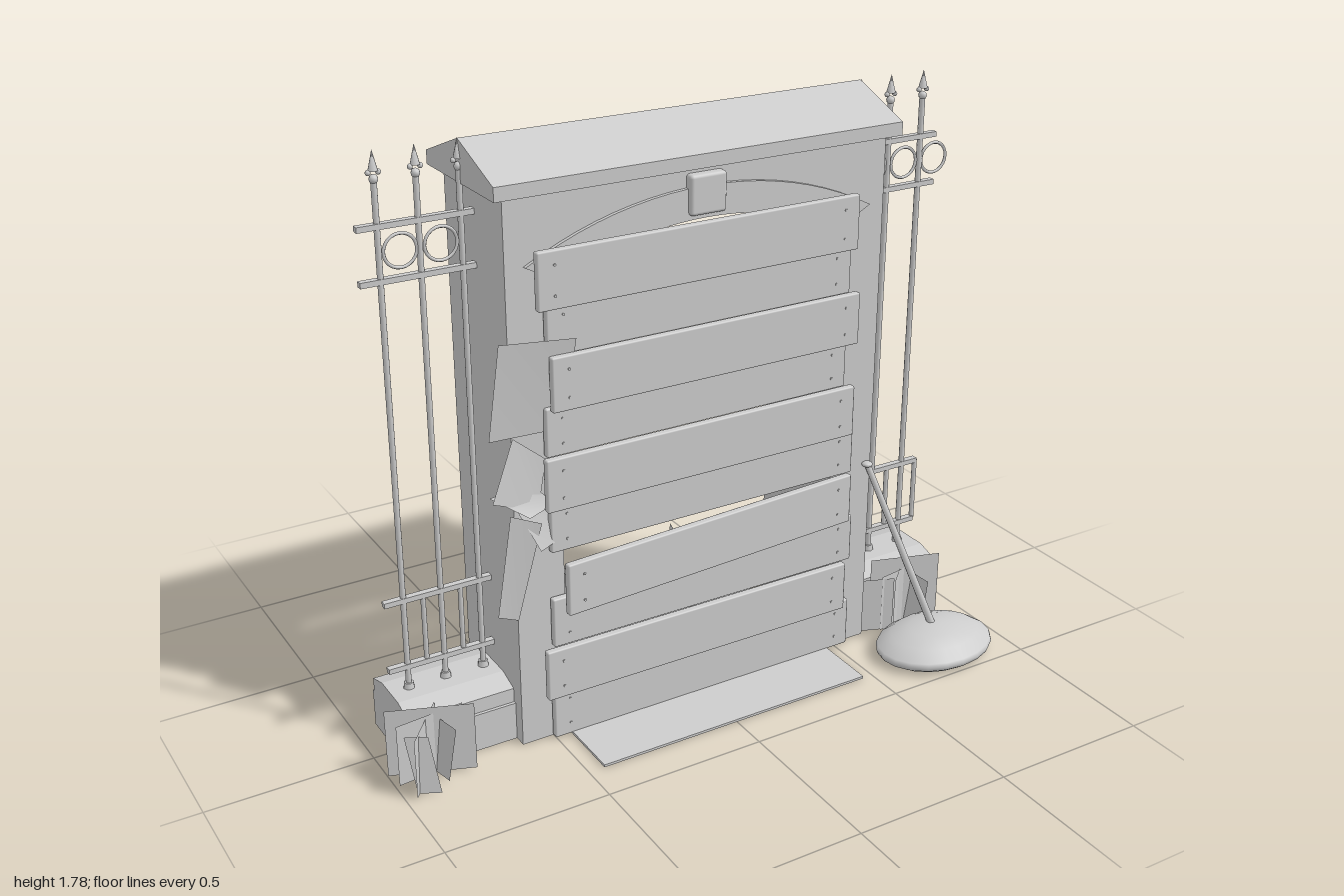
import * as THREE from 'three';
import { RoundedBoxGeometry } from 'three/addons/geometries/RoundedBoxGeometry.js';

const stone = new THREE.MeshStandardMaterial({ color: 0xcccccc, side: THREE.DoubleSide });
stone.name = 'plain grey';

export function createModel() {
  const root = new THREE.Group();
  root.name = 'boardedGateway';

  const add = (geo, name, x = 0, y = 0, z = 0, parent = root) => {
    const m = new THREE.Mesh(geo, stone);
    m.name = name;
    m.position.set(x, y, z);
    parent.add(m);
    return m;
  };
  // box given by its limits on each axis
  const box = (name, x0, x1, y0, y1, z0, z1, parent = root) =>
    add(new THREE.BoxGeometry(x1 - x0, y1 - y0, z1 - z0), name,
      (x0 + x1) / 2, (y0 + y1) / 2, (z0 + z1) / 2, parent);
  // rod between two points
  const rod = (name, a, b, r0, r1 = r0, parent = root, sides = 8) => {
    const A = new THREE.Vector3(...a), B = new THREE.Vector3(...b), d = B.clone().sub(A);
    const m = add(new THREE.CylinderGeometry(r1, r0, d.length(), sides), name, 0, 0, 0, parent);
    m.position.copy(A).add(B).multiplyScalar(0.5);
    m.quaternion.setFromUnitVectors(new THREE.Vector3(0, 1, 0), d.normalize());
    return m;
  };
  // shallow arc from left to right: half width, spring height, peak height
  const cx = 0.01;
  const arc = (half, spring, peak, n = 20) => {
    const s = peak - spring, R = (half * half + s * s) / (2 * s), a = Math.asin(half / R);
    return Array.from({ length: n + 1 }, (_, i) => {
      const t = -a + (2 * a * i) / n;
      return new THREE.Vector2(cx + R * Math.sin(t), peak - R + R * Math.cos(t));
    });
  };
  const extrude = (pts, depth) =>
    new THREE.ExtrudeGeometry(new THREE.Shape(pts), { depth, bevelEnabled: false });
  const V = (x, y) => new THREE.Vector2(x, y);

  // gateway wall with its arched opening
  const opening = arc(0.46, 1.41, 1.51);
  add(extrude([V(-0.6, 0), V(-0.45, 0), ...opening, V(0.47, 0), V(0.62, 0), V(0.62, 1.66), V(-0.6, 1.66)], 0.36),
    'gatewayWall', 0, 0, -0.2);

  // arch trim and keystone on both faces
  const band = [...arc(0.555, 1.46, 1.6), ...arc(0.46, 1.41, 1.51).reverse()];
  for (const [z, side] of [[0.16, 'front'], [-0.212, 'back']]) {
    add(extrude(band, 0.012), side + 'ArchTrim', 0, 0, z);
    add(new RoundedBoxGeometry(0.115, 0.115, 0.045, 2, 0.01), side + 'Keystone', 0.008, 1.58, side === 'front' ? 0.165 : -0.205);
  }

  // pitched coping, profile drawn in z and y
  const roof = extrude([V(-0.19, 1.655), V(0.23, 1.655), V(0.23, 1.695), V(0.02, 1.775), V(-0.19, 1.695)], 1.29);
  add(roof, 'copingRoof', -0.635).rotation.y = Math.PI / 2;

  // paving slab through the opening
  box('pavingSlab', -0.45, 0.465, 0, 0.008, -0.435, 0.38);

  // hinge knobs on the jambs
  for (const [x, y, z] of [[0.47, 1.2, 0.13], [0.47, 0.38, 0.13], [-0.45, 1.16, 0.1], [-0.45, 1.19, -0.08]])
    add(new THREE.SphereGeometry(0.02, 12, 8), 'hingeKnob', x, y, z);

  // boards across the front: left, right, bottom, top
  const boards = [
    [-0.53, 0.5, 1.345, 1.51], [-0.495, 0.495, 1.205, 1.355], [-0.495, 0.515, 1.05, 1.21],
    [-0.505, 0.49, 0.91, 1.055], [-0.52, 0.51, 0.755, 0.915], [-0.5, 0.53, 0.615, 0.765],
    [-0.495, 0.52, 0.455, 0.615], [-0.5, 0.54, 0.31, 0.465], [-0.535, 0.505, 0.155, 0.315],
    [-0.505, 0.54, 0.005, 0.165],
  ];
  const boarding = new THREE.Group();
  boarding.name = 'boarding';
  root.add(boarding);
  boards.forEach(([x0, x1, y0, y1], i) => {
    const loose = i === 6, w = x1 - x0, h = y1 - y0;
    const g = new THREE.Group();
    g.name = loose ? 'looseBoard' : 'board';
    g.position.set((x0 + x1) / 2, (y0 + y1) / 2, loose ? 0.226 : i % 2 ? 0.174 : 0.2);
    if (loose) g.rotation.y = 0.07;
    boarding.add(g);
    add(new RoundedBoxGeometry(w, h, 0.024, 1, 0.005), 'plank', 0, 0, 0, g);
    for (const sx of [-1, 1]) for (const sy of [-1, 1])
      add(new THREE.CylinderGeometry(0.004, 0.004, 0.004, 8), 'nail', sx * (w / 2 - 0.05), sy * h * 0.26, 0.013, g)
        .rotation.x = Math.PI / 2;
  });

  // railings on low plinths, one each side
  const fence = (name, x0, x1, posts, gaps) => {
    const g = new THREE.Group();
    g.name = name;
    root.add(g);
    const mid = (x0 + x1) / 2, w = x1 - x0, z = -0.02;
    box('plinth', x0, x1, 0, 0.12, -0.16, 0.12, g);
    // plinth cap with a gently sloped top
    const cap = extrude([V(-0.11, 0.12), V(0.15, 0.12), V(0.15, 0.165), V(0.08, 0.187), V(-0.04, 0.187), V(-0.11, 0.165)], w);
    add(cap, 'plinthCap', x0, 0, 0, g).rotation.y = Math.PI / 2;
    for (const y of [0.26, 0.475, 1.425, 1.575])
      add(new THREE.BoxGeometry(w, 0.016, 0.02), 'rail', mid, y, z, g);
    for (const x of posts) {
      rod('post', [x, 0.18, z], [x, 1.7, z], 0.009, 0.009, g);
      rod('postFoot', [x, 0.18, z], [x, 0.205, z], 0.018, 0.014, g);
      add(new THREE.SphereGeometry(0.013, 8, 6), 'finialKnob', x, 1.7, z, g);
      for (const s of [-1, 1]) add(new THREE.SphereGeometry(0.008, 8, 6), 'finialBud', x + s * 0.014, 1.718, z, g);
      add(new THREE.ConeGeometry(0.014, 0.055, 8), 'spearTip', x, 1.75, z, g);
    }
    for (const x of gaps) {
      add(new THREE.TorusGeometry(0.047, 0.005, 6, 24), 'ring', x, 1.5, z, g);
      rod('shortBar', [x, 0.26, z], [x, 0.475, z], 0.008, 0.008, g);
    }
  };
  fence('rightFence', -0.93, -0.6, [-0.87, -0.755, -0.635], [-0.81, -0.695]);
  fence('leftFence', 0.62, 0.945, [0.66, 0.77, 0.89], [0.715, 0.83, 0.945]);

  // oval domed base with a leaning pole
  const dome = [[0, 0], [0.165, 0], [0.195, 0.018], [0.2, 0.03], [0.195, 0.043], [0.15, 0.072], [0.09, 0.092], [0.03, 0.1], [0, 0.1]];
  add(new THREE.LatheGeometry(dome.map(p => V(...p)), 20), 'domedBase', 0.76, 0, 0.355).scale.z = 0.76;
  rod('leaningPole', [0.755, 0.09, 0.345], [0.605, 0.61, 0.172], 0.013, 0.01);
  add(new THREE.SphereGeometry(0.018, 10, 6), 'poleCap', 0.602, 0.618, 0.17).scale.y = 0.5;

  // upright leaf cards: foot from (x0,z0) to (x1,z1), height, sideways lean of the top
  const card = (name, p, parent) => {
    const [x0, z0, x1, z1, h, lx = 0, lz = 0] = p;
    const geo = new THREE.BufferGeometry();
    geo.setAttribute('position', new THREE.Float32BufferAttribute(
      [x0, 0.005, z0, x1, 0.005, z1, x1 + lx, h, z1 + lz, x0 + lx, h, z0 + lz], 3));
    geo.setIndex([0, 1, 2, 0, 2, 3]);
    geo.computeVertexNormals();
    add(geo, name, 0, 0, 0, parent);
  };
  const clumps = {
    frontRightGrass: [[-1, 0.11, -0.765, 0.2, 0.22], [-0.97, 0.25, -0.84, 0.09, 0.19], [-0.99, 0.17, -0.78, 0.15, 0.2],
      [-0.89, 0.08, -0.86, 0.22, 0.18, 0.02, 0.02], [-0.96, 0.23, -0.9, 0.26, 0.18, -0.02, -0.03]],
    frontLeftGrass: [[0.67, 0.13, 0.89, 0.2, 0.24], [0.7, 0.22, 0.83, 0.1, 0.2], [0.59, 0.14, 0.72, 0.19, 0.19],
      [0.78, 0.1, 0.79, 0.25, 0.18, 0.02], [0.68, 0.18, 0.87, 0.15, 0.2]],
    backRightGrass: [[-0.44, -0.3, -0.25, -0.41, 0.2], [-0.4, -0.44, -0.3, -0.27, 0.2], [-0.27, -0.4, -0.1, -0.395, 0.2],
      [-0.28, -0.42, -0.26, -0.24, 0.24], [-0.22, -0.5, -0.19, -0.3, 0.19, 0.025]],
    backLeftGrass: [[0.1, -0.24, 0.31, -0.38, 0.24], [0.16, -0.36, 0.23, -0.24, 0.22], [0.165, -0.46, 0.37, -0.41, 0.2, 0, 0.04],
      [0.26, -0.5, 0.215, -0.33, 0.2, 0.025, 0.01]],
  };
  for (const [name, cards] of Object.entries(clumps)) {
    const g = new THREE.Group();
    g.name = name;
    root.add(g);
    cards.forEach(c => card('grassCard', c, g));
  }

  // creeper leaves climbing the wall beside the boards: four corners as x, y, z
  const leaves = [
    [-0.64, 1.27, 0.19, -0.67, 0.99, 0.17, -0.44, 0.98, 0.165, -0.415, 1.25, 0.2],
    [-0.6, 0.985, 0.17, -0.68, 0.82, 0.2, -0.53, 0.75, 0.17, -0.5, 0.9, 0.165],
    [-0.61, 0.8, 0.165, -0.54, 0.64, 0.2, -0.43, 0.66, 0.17, -0.42, 0.72, 0.165],
    [-0.62, 0.76, 0.18, -0.665, 0.45, 0.17, -0.6, 0.42, 0.165, -0.53, 0.72, 0.19],
    [-0.68, 0.83, 0.18, -0.57, 0.75, 0.2, -0.48, 0.76, 0.17, -0.55, 0.84, 0.165],
  ];
  for (const pts of leaves) {
    const geo = new THREE.BufferGeometry();
    geo.setAttribute('position', new THREE.Float32BufferAttribute(pts, 3));
    geo.setIndex([0, 1, 2, 0, 2, 3]);
    geo.computeVertexNormals();
    add(geo, 'creeperLeaf');
  }
  return root;
}
